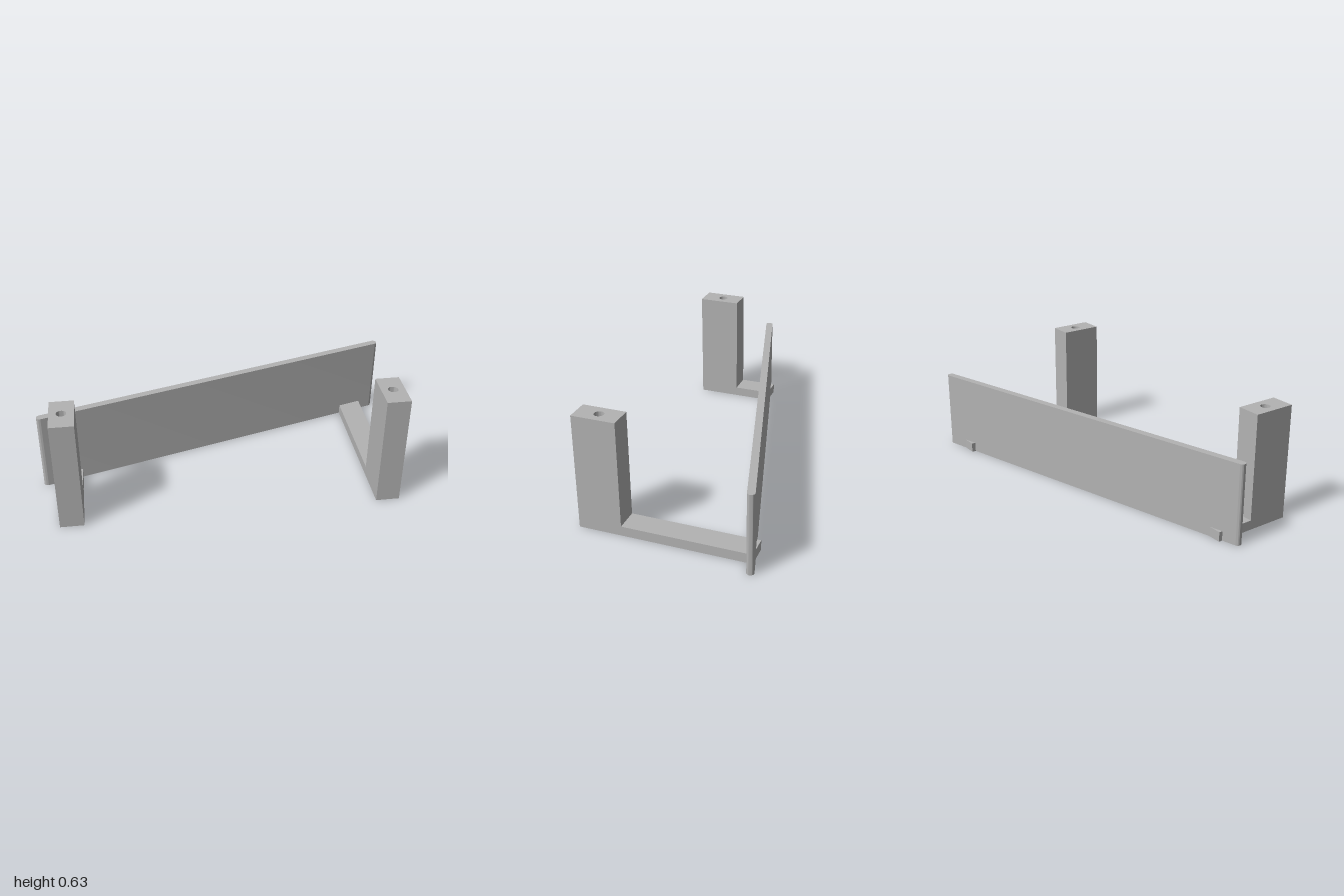
import * as THREE from 'three';
import { toCreasedNormals } from 'three/addons/utils/BufferGeometryUtils.js';

const LEG_X = 0.848, LEG_W = 0.127;
const FRONT = 0.477, POST_BACK = 0.244, POST_H = 0.63, ARM_H = 0.053;
const HOLE_R = 0.026, HOLE_FLOOR = 0.38;

const grey = new THREE.MeshStandardMaterial({ color: 0xb3b3b3 });
grey.name = 'plain grey';

function part(name, geometry, parent) {
  const mesh = new THREE.Mesh(toCreasedNormals(geometry, 0.6), grey);
  mesh.name = name;
  parent.add(mesh);
  return mesh;
}

// Extrudes a plan outline (x, -z) upwards from y0 to y1
function extrudeUp(shape, y0, y1) {
  const g = new THREE.ExtrudeGeometry(shape, { depth: y1 - y0, bevelEnabled: false, curveSegments: 16 });
  return g.rotateX(-Math.PI / 2).translate(0, y0, 0);
}

// L-shaped bracket: flat arm under the board and an upright post with a blind hole
function bracket(name, x, armEnd) {
  const group = new THREE.Group();
  group.name = name;
  group.position.x = x;

  const side = new THREE.Shape([
    [armEnd, 0], [FRONT, 0], [FRONT, HOLE_FLOOR], [POST_BACK, HOLE_FLOOR],
    [POST_BACK, ARM_H], [armEnd, ARM_H],
  ].map(([z, y]) => new THREE.Vector2(z, y)));
  const foot = new THREE.ExtrudeGeometry(side, { depth: LEG_W, bevelEnabled: false });
  part('armAndLowerPost', foot.rotateY(-Math.PI / 2).translate(LEG_W / 2, 0, 0), group);

  const h = LEG_W / 2;
  const plan = new THREE.Shape([
    [-h, -FRONT], [h, -FRONT], [h, -POST_BACK], [-h, -POST_BACK],
  ].map(([px, py]) => new THREE.Vector2(px, py)));
  const hole = new THREE.Path();
  hole.absarc(0, -0.357, HOLE_R, 0, Math.PI * 2, true);
  plan.holes.push(hole);
  part('upperPost', extrudeUp(plan, HOLE_FLOOR, POST_H), group);
  return group;
}

export function createModel() {
  const model = new THREE.Group();
  model.name = 'angledBoardBracket';

  model.add(bracket('rightBracket', -LEG_X, 0.032));
  model.add(bracket('leftBracket', LEG_X, -0.445));

  // Slanted board with rounded ends
  const r = 0.0195, endX = 1 - r, z0 = 0.092, z1 = -0.457;
  const half = Math.hypot(2 * endX, z0 - z1) / 2;
  const outline = new THREE.Shape();
  outline.moveTo(-half, -r);
  outline.lineTo(half, -r);
  outline.absarc(half, 0, r, -Math.PI / 2, Math.PI / 2, false);
  outline.lineTo(-half, r);
  outline.absarc(-half, 0, r, Math.PI / 2, Math.PI * 1.5, false);
  const board = part('board', extrudeUp(outline, 0, 0.441), model);
  board.rotation.y = Math.atan2(z0 - z1, 2 * endX);
  board.position.z = (z0 + z1) / 2;

  return model;
}
